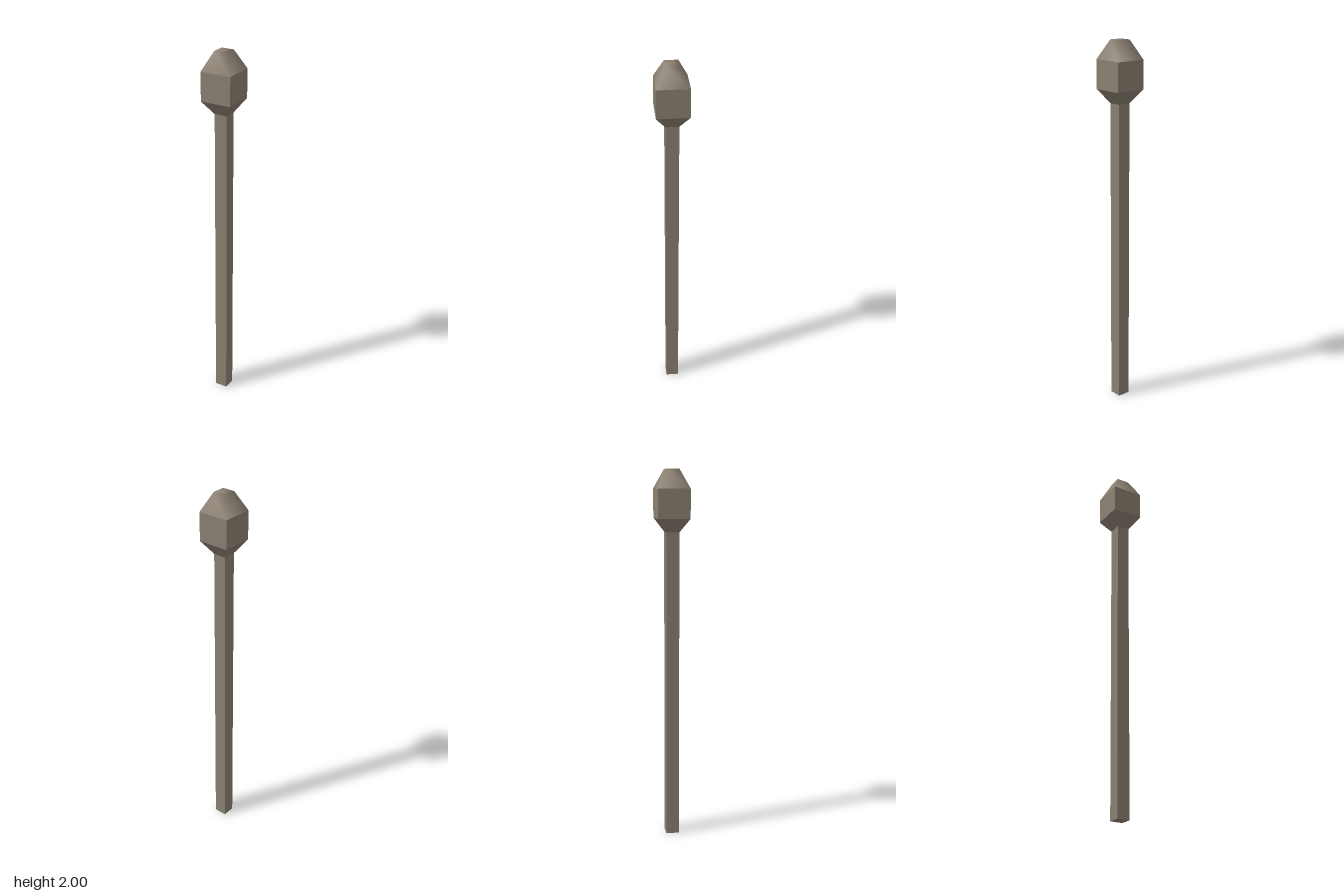
import * as THREE from 'three';
import { mergeVertices } from 'three/addons/utils/BufferGeometryUtils.js';

const POLE = 0.035; // half width of the pole and of the small ends of the head
const HEAD = 0.085; // half width of the head

const material = new THREE.MeshStandardMaterial({ color: 0x8b8072 });

// Square section swept up a profile of [half width, height] points
function squareSection(name, profile, smooth) {
  const points = profile.map(([half, y]) => new THREE.Vector2(half * Math.SQRT2, y));
  let geometry = new THREE.LatheGeometry(points, 4, Math.PI / 4);
  geometry.deleteAttribute('normal');
  geometry.deleteAttribute('uv');
  geometry = smooth ? mergeVertices(geometry) : geometry.toNonIndexed();
  geometry.computeVertexNormals();
  const mesh = new THREE.Mesh(geometry, material);
  mesh.name = name;
  return mesh;
}

export function createModel() {
  const group = new THREE.Group();
  group.name = 'post';
  group.add(
    // Flat-sided pole, closed at the bottom
    squareSection('pole', [[0, 0], [POLE, 0], [POLE, 1.675]], false),
    // Head: smooth flare, flat block, smooth taper with a closed top
    squareSection('headFlare', [[POLE, 1.675], [HEAD, 1.747]], true),
    squareSection('headBlock', [[HEAD, 1.747], [HEAD, 1.9]], false),
    squareSection('headTip', [[HEAD, 1.9], [POLE, 2], [0, 2]], true)
  );
  return group;
}
